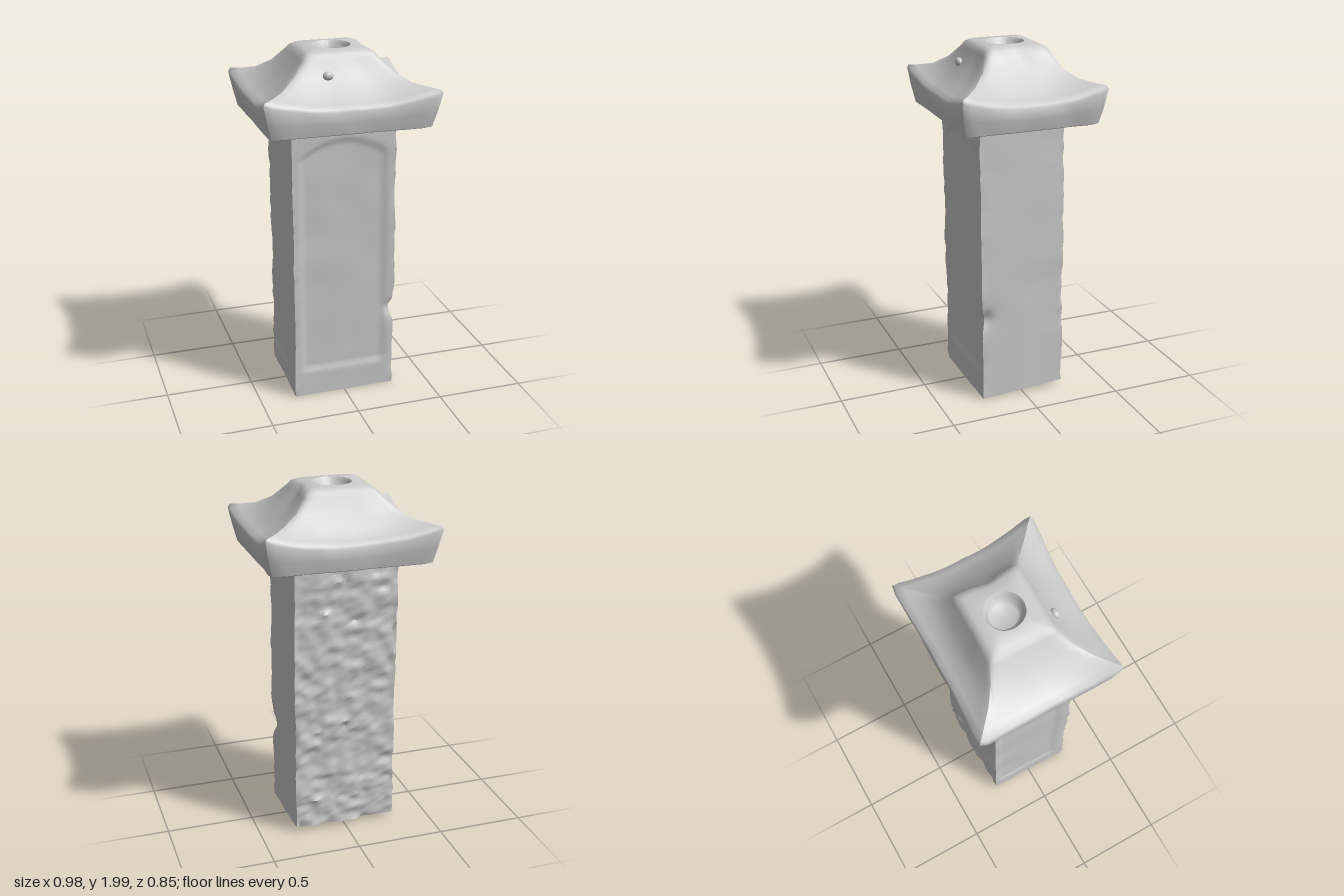
import * as THREE from 'three';
import { toCreasedNormals } from 'three/addons/utils/BufferGeometryUtils.js';

const stone = new THREE.MeshStandardMaterial({ color: 0xcccccc });
const { smoothstep, lerp } = THREE.MathUtils;

// Smooth value noise in the range -1..1
function hash(x, y, z) {
  const s = Math.sin(x * 127.1 + y * 311.7 + z * 74.7) * 43758.5453;
  return (s - Math.floor(s)) * 2 - 1;
}
function noise(x, y, z) {
  const ix = Math.floor(x), iy = Math.floor(y), iz = Math.floor(z);
  const [fx, fy, fz] = [x - ix, y - iy, z - iz].map(f => f * f * (3 - 2 * f));
  const row = (b, c) => lerp(hash(ix, iy + b, iz + c), hash(ix + 1, iy + b, iz + c), fx);
  const layer = c => lerp(row(0, c), row(1, c), fy);
  return lerp(layer(0), layer(1), fz);
}

// 1 inside a range, fading to 0 at both ends
const within = (v, lo, hi, fade = 0.03) => smoothstep(v, lo, lo + fade) * (1 - smoothstep(v, hi - fade, hi));

// Gaussian falloff around a point
const near = (p, x, y, z, r) => Math.exp(-((p.x - x) ** 2 + (p.y - y) ** 2 + (p.z - z) ** 2) / (r * r));

function moveVertices(geometry, rule) {
  const pos = geometry.attributes.position, p = new THREE.Vector3();
  for (let i = 0; i < pos.count; i++) {
    rule(p.fromBufferAttribute(pos, i));
    pos.setXYZ(i, p.x, p.y, p.z);
  }
}

// Squared shaft: worn edges, shallow panels, rough-hewn back
function shaftGeometry() {
  const g = new THREE.BoxGeometry(0.588, 1.61, 0.488, 30, 90, 24);
  g.translate(0, 0.805, 0);
  moveVertices(g, p => {
    const { x, y, z } = p;
    const front = z > 0.243, back = z < -0.243, side = x < -0.293;
    const edge = Math.abs(x) > 0.28 && Math.abs(z) > 0.23;
    const wear = 0.004 * noise(x * 6, y * 6, z * 6) + (edge ? 0.004 * noise(x * 20, y * 22, z * 20) : 0);
    const chip = 0.025 * near(p, 0.294, 0.5, 0.244, 0.05);

    p.x += Math.sign(x) * wear - chip - 0.008 * smoothstep(y, 0.6, 1.6);
    p.z += Math.sign(z) * wear - chip * 0.7 + 0.008 * (y / 1.6);

    // Arched panel on the front
    const archTop = 1.55 - 1.5 * x * x;
    if (front) p.z -= 0.011 * within(x, -0.26, 0.25) * within(y, 0.15, archTop);
    // Rectangular panel on one side
    if (side) p.x += 0.01 * within(z, -0.23, 0.19) * within(y, 0.1, 1.55);
    // Tool marks on the back
    if (back && Math.abs(x) < 0.29) p.z += 0.011 * noise(x * 18, y * 22, 3) + 0.005 * noise(x * 40, y * 40, 9);
    // Base slopes up towards the back
    p.y += (0.022 - z * 0.06) * (1 - smoothstep(y, 0, 0.4));
  });
  return toCreasedNormals(g, 0.75);
}

// Cap cross-sections: half width, half depth, height, corner lift, side bow, squareness
const capRings = [
  [0, 0, 1.6, 0, 0, 24],
  [0.43, 0.365, 1.6, 0, 0, 24],
  [0.452, 0.385, 1.608, 0, 0.01, 24],
  [0.477, 0.405, 1.67, 0.03, 0.03, 24],
  [0.498, 0.42, 1.728, 0.07, 0.06, 24],
  [0.489, 0.412, 1.742, 0.073, 0.06, 24],
  [0.44, 0.37, 1.758, 0.062, 0.04, 24],
  [0.36, 0.3, 1.802, 0.035, 0.01, 26],
  [0.28, 0.235, 1.872, 0.012, 0, 26],
  [0.212, 0.19, 1.955, 0, 0, 20],
  [0.195, 0.175, 1.98, 0, 0, 16],
  [0.165, 0.15, 1.996, 0, 0, 10],
  [0.105, 0.105, 2, 0, 0, 2],
  [0.093, 0.093, 1.985, 0, 0, 2],
  [0.08, 0.08, 1.945, 0, 0, 2],
  [0.065, 0.065, 1.937, 0, 0, 2],
  [0, 0, 1.937, 0, 0, 2],
];

// Hipped cap with upswept corners and a round socket in its top
function capGeometry() {
  const n = 20, count = n * 4, points = [], index = [];
  for (const [hx, hz, y, lift, bow, square] of capRings) {
    for (let j = 0; j < count; j++) {
      const s = (j % n) / n * 2 - 1;
      const [u, v] = [[s, 1], [1, -s], [-s, -1], [-1, s]][Math.floor(j / n)];
      const k = (Math.abs(u) ** square + Math.abs(v) ** square) ** (-1 / square);
      const corner = Math.abs(s) ** 2.5;
      const r = k * (1 - bow * (1 - corner));
      points.push(u * hx * r, y + lift * corner, v * hz * r - 0.012 * smoothstep(y, 1.8, 1.93));
    }
  }
  for (let i = 0; i < capRings.length - 1; i++) {
    for (let j = 0; j < count; j++) {
      const a = i * count + j, b = i * count + (j + 1) % count;
      index.push(a, b, a + count, b, b + count, a + count);
    }
  }
  const g = new THREE.BufferGeometry();
  g.setAttribute('position', new THREE.Float32BufferAttribute(points, 3));
  g.setIndex(index);
  moveVertices(g, p => {
    const { x, y, z } = p;
    // Slight skew, weathering and a worn top edge
    p.z += 0.022 * x + 0.004 * noise(x * 9, y * 9, z * 9);
    p.x += 0.004 * noise(x * 9 + 20, y * 9, z * 9) - 0.025 * near(p, 0.2, 1.96, 0, 0.07);
    if (y > 1.65 && y < 1.99) p.y += 0.004 * noise(x * 10, y * 10 + 40, z * 10);
  });
  return toCreasedNormals(g, 0.8);
}

export function createModel() {
  const model = new THREE.Group();
  model.name = 'stonePillar';
  const add = (name, geometry) => {
    const mesh = new THREE.Mesh(geometry, stone);
    mesh.name = name;
    model.add(mesh);
    return mesh;
  };
  add('shaft', shaftGeometry());
  add('cap', capGeometry());

  // Small stone nub on the front slope
  const nub = add('nub', new THREE.SphereGeometry(0.03, 16, 10));
  nub.scale.set(1, 0.8, 0.7);
  nub.position.set(-0.09, 1.885, 0.225);
  return model;
}
